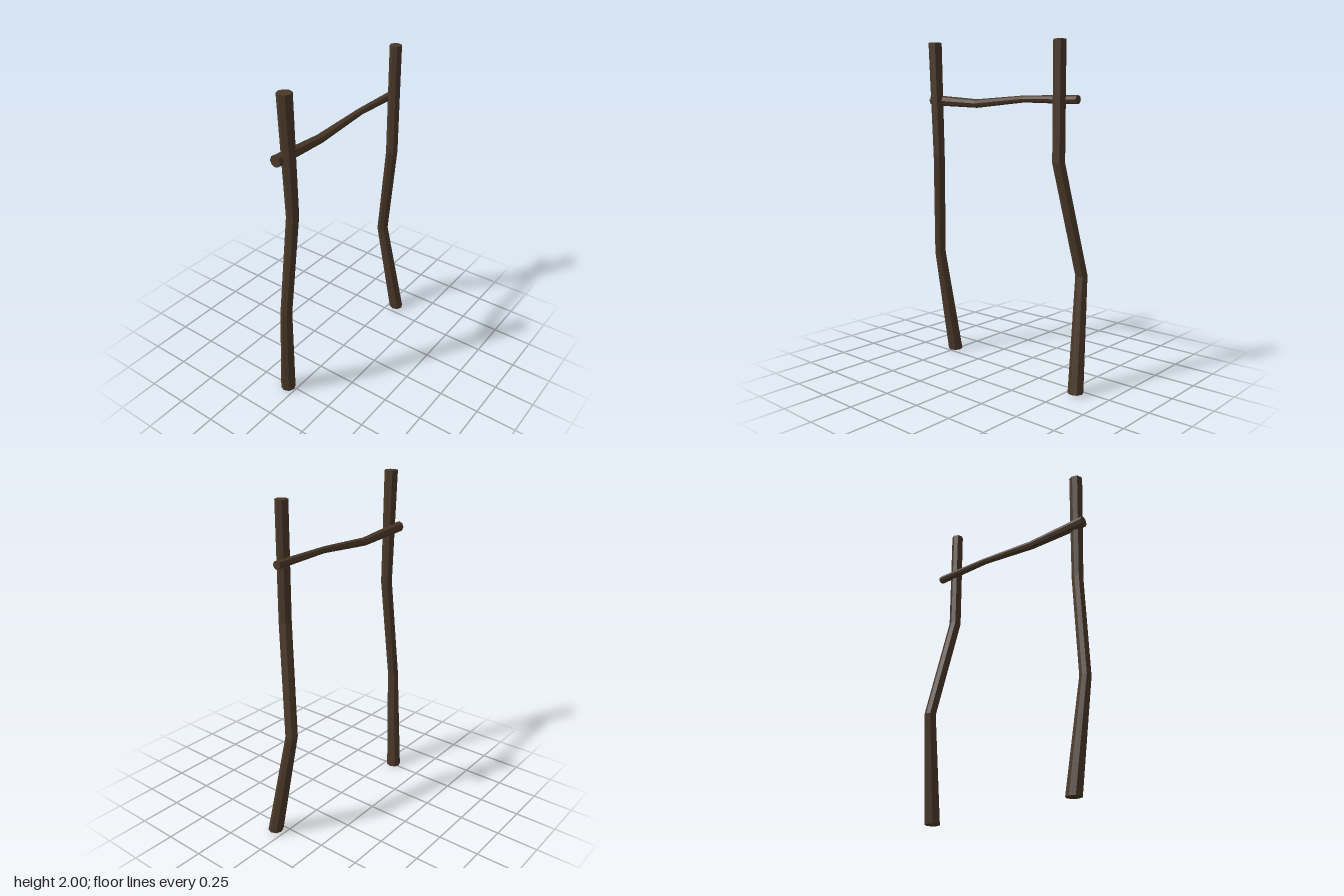
import * as THREE from 'three';

const SIDES = 8;

// Rough pole: a cylinder whose rings follow points [x, y, z, radius], low to high
function pole(name, points, material) {
  const geo = new THREE.CylinderGeometry(1, 1, 1, SIDES, points.length - 1);
  const pos = geo.attributes.position;
  for (let i = 0; i < pos.count; i++) {
    const ring = Math.round((pos.getY(i) + 0.5) * (points.length - 1));
    const [x, y, z, r] = points[ring];
    pos.setXYZ(i, x + pos.getX(i) * r, y, z + pos.getZ(i) * r);
  }
  const flat = geo.toNonIndexed();
  flat.computeVertexNormals();
  const mesh = new THREE.Mesh(flat, material);
  mesh.name = name;
  return mesh;
}

export function createModel() {
  const group = new THREE.Group();
  group.name = 'poleFrame';
  const wood = new THREE.MeshStandardMaterial({ color: 0x4a3828, flatShading: true });
  wood.name = 'darkWood';

  // Crooked uprights with level-cut ends
  group.add(pole('rightPost', [
    [-0.512, 0, -0.055, 0.045],
    [-0.573, 0.66, 0.015, 0.034],
    [-0.53, 1.3, 0.056, 0.035],
    [-0.553, 2, 0.057, 0.041],
  ], wood));
  group.add(pole('leftPost', [
    [0.56, 0.01, 0.056, 0.045],
    [0.513, 0.66, -0.051, 0.035],
    [0.424, 1.3, 0.055, 0.036],
    [0.424, 1.97, 0.055, 0.036],
  ], wood));

  // Crossbar behind the posts: built upright, then laid along x
  const bar = pole('crossbar', [
    [-0.61, 1.647, 0.026, 0.033],
    [-0.235, 1.625, 0.014, 0.026],
    [0.14, 1.651, 0.013, 0.02],
    [0.52, 1.646, 0.013, 0.025],
  ].map(([x, y, z, r]) => [-y, x, z, r]), wood);
  bar.rotation.z = -Math.PI / 2;
  group.add(bar);

  return group;
}
